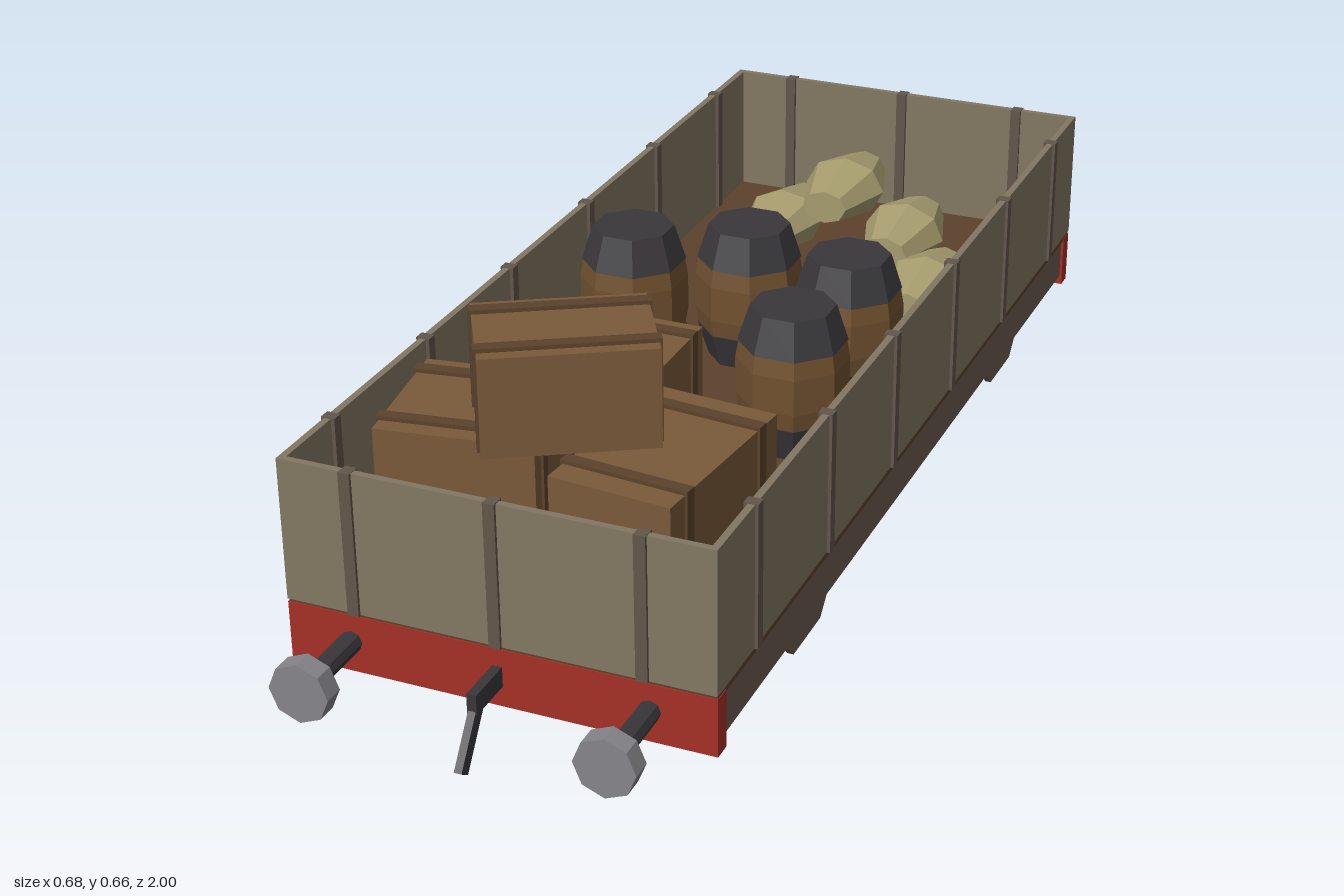
import * as THREE from 'three';

const mat = (color, opts = {}) => new THREE.MeshStandardMaterial({ color, flatShading: true, ...opts });
const M = {
  wall: mat(0x827762), strap: mat(0x62564b), sole: mat(0x6b5b4e), floor: mat(0x5c422c),
  under: mat(0x3a2c20), red: mat(0xa52f26), steel: mat(0x85858a), iron: mat(0x39373a),
  crate: mat(0x7a5a3a), batten: mat(0x5c432c), barrel: mat(0x70502f), sack: mat(0xa69c6e),
};

function add(parent, name, geo, material, x = 0, y = 0, z = 0) {
  const m = new THREE.Mesh(geo, material);
  m.name = name;
  m.position.set(x, y, z);
  parent.add(m);
  return m;
}
const box = (parent, name, material, w, h, d, x, y, z) =>
  add(parent, name, new THREE.BoxGeometry(w, h, d), material, x, y, z);
const lathe = (pts, n) => new THREE.LatheGeometry(pts.map(p => new THREE.Vector2(...p)), n);
const group = (parent, name, x = 0, y = 0, z = 0) => {
  const g = new THREE.Group();
  g.name = name;
  g.position.set(x, y, z);
  parent.add(g);
  return g;
};

// Open box body with straps through the walls
function buildBody(root) {
  const g = group(root, 'body');
  box(g, 'floor', M.floor, 0.664, 0.01, 1.7, 0, 0.263, 0);
  box(g, 'underside', M.under, 0.62, 0.008, 1.66, 0, 0.254, 0);
  for (const s of [-1, 1]) {
    box(g, 'sideWall', M.wall, 0.011, 0.227, 1.706, s * 0.3275, 0.3815, 0);
    box(g, 'endWall', M.wall, 0.644, 0.227, 0.011, 0, 0.3815, s * 0.8475);
    box(g, 'soleBar', M.sole, 0.035, 0.073, 1.65, s * 0.311, 0.223, 0);
    box(g, 'bufferBeam', M.red, 0.666, 0.093, 0.03, 0, 0.2165, s * 0.837);
    for (const z of [-0.712, -0.428, -0.145, 0.145, 0.428, 0.712])
      box(g, 'sideStrap', M.strap, 0.022, 0.229, 0.018, s * 0.327, 0.3815, z);
    for (const x of [-0.223, 0, 0.223])
      box(g, 'endStrap', M.strap, 0.018, 0.229, 0.022, x, 0.3815, s * 0.847);
  }
}

// Buffers and coupling hook at one end
function buildEnd(root, turn) {
  const g = group(root, 'coupling');
  g.rotation.y = turn;
  for (const x of [-0.232, 0.232]) {
    const b = group(g, 'buffer', x, 0.22, 0);
    b.rotation.x = Math.PI / 2;
    add(b, 'bufferShaft', new THREE.CylinderGeometry(0.017, 0.017, 0.13, 8), M.iron, 0, 0.91, 0);
    add(b, 'bufferHead', new THREE.CylinderGeometry(0.047, 0.047, 0.033, 8), M.steel, 0, 0.9835, 0);
  }
  box(g, 'hookShank', M.iron, 0.015, 0.032, 0.085, 0, 0.219, 0.888);
  box(g, 'hookTip', M.iron, 0.012, 0.1, 0.022, 0, 0.172, 0.942).rotation.x = -0.6;
}

// Axle with two wheels, axle boxes, springs and hangers
function buildWheelset(root, z) {
  const g = group(root, 'wheelset', 0, 0.127, z);
  add(g, 'axle', new THREE.CylinderGeometry(0.015, 0.015, 0.48, 8), M.iron).rotation.z = Math.PI / 2;
  const rim = lathe([[0.102, -0.005], [0.102, 0.018], [0.122, 0.018], [0.127, -0.016], [0, -0.016]].reverse(), 12);
  const rimMat = mat(0x85858a, { side: THREE.DoubleSide });
  const hanger = new THREE.Shape([[-0.1, 0.19], [-0.055, 0.145], [0.055, 0.145], [0.1, 0.19]]
    .map(p => new THREE.Vector2(...p)));
  for (const s of [-1, 1]) {
    const w = group(g, 'wheel', s * 0.204, 0, 0);
    w.rotation.z = -s * Math.PI / 2;
    add(w, 'tyre', rim, rimMat);
    add(w, 'wheelWeb', new THREE.CylinderGeometry(0.104, 0.104, 0.012, 12), M.iron, 0, -0.003, 0);
    for (const a of [0, Math.PI / 2])
      box(w, 'spoke', M.steel, 0.21, 0.013, 0.018, 0, 0.009, 0).rotation.y = a;
    add(w, 'hub', new THREE.CylinderGeometry(0.022, 0.022, 0.02, 8), M.steel, 0, 0.01, 0);
    box(g, 'axleBox', M.iron, 0.034, 0.062, 0.075, s * 0.247, 0.002, 0);
    box(g, 'spring', M.iron, 0.026, 0.016, 0.2, s * 0.247, 0.054, 0);
    box(g, 'springPost', M.iron, 0.022, 0.1, 0.03, s * 0.247, 0.076, 0);
    const h = add(g, 'hangerPlate',
      new THREE.ExtrudeGeometry(hanger, { depth: 0.01, bevelEnabled: false }), M.sole, s * 0.315 - 0.005, -0.127, 0);
    h.rotation.y = Math.PI / 2;
  }
}

// Crate with two bands over the lid and down the ends
function buildCrate(root, w, h, d, x, y, z, turn) {
  const g = group(root, 'crate', x, y, z);
  g.rotation.y = turn;
  box(g, 'crateBox', M.crate, w, h - 0.006, d, 0, (h - 0.006) / 2, 0);
  for (const s of [-1, 1])
    box(g, 'crateBand', M.batten, w + 0.008, h, 0.02, 0, h / 2, s * d * 0.34);
}

// Barrel: bulging staves between two dark ends
function buildBarrel(root, x, z) {
  const g = group(root, 'barrel', x, 0.267, z);
  g.rotation.y = Math.PI / 8;
  add(g, 'barrelStaves', lathe([[0.084, 0.055], [0.09, 0.09], [0.09, 0.15], [0.084, 0.185]], 8), M.barrel);
  add(g, 'barrelBottom', lathe([[0, 0], [0.068, 0], [0.087, 0.06], [0.082, 0.06]], 8), M.iron);
  add(g, 'barrelTop', lathe([[0.082, 0.18], [0.087, 0.18], [0.068, 0.24], [0, 0.24]], 8), M.iron);
}

// Stuffed sack lying along z, slightly flattened
function buildSack(root, x, y, z, turn, roll) {
  const geo = lathe([[0, -0.107], [0.04, -0.107], [0.074, 0], [0.04, 0.107], [0, 0.107]], 8);
  geo.rotateX(Math.PI / 2);
  geo.scale(1, 0.75, 1);
  add(root, 'sack', geo, M.sack, x, y, z).rotation.set(0, turn, roll);
}

export function createModel() {
  const root = new THREE.Group();
  root.name = 'openWagon';
  buildBody(root);
  for (const turn of [0, Math.PI]) buildEnd(root, turn);
  for (const z of [-0.48, 0.48]) buildWheelset(root, z);

  const cargo = group(root, 'cargo');
  buildCrate(cargo, 0.262, 0.173, 0.235, -0.132, 0.267, 0.235, 0);
  buildCrate(cargo, 0.24, 0.246, 0.23, -0.14, 0.267, 0.612, 0.15);
  buildCrate(cargo, 0.195, 0.22, 0.315, 0.14, 0.267, 0.585, -0.1);
  buildCrate(cargo, 0.254, 0.16, 0.185, 0, 0.5, 0.612, 0.53);
  for (const [x, z] of [[-0.2, -0.06], [-0.025, -0.14], [0.172, -0.085], [0.158, 0.13]]) buildBarrel(cargo, x, z);
  buildSack(cargo, -0.137, 0.32, -0.59, 0, 0.1);
  buildSack(cargo, 0.088, 0.32, -0.615, 0, -0.1);
  buildSack(cargo, -0.025, 0.395, -0.605, 0, 0);
  buildSack(cargo, 0.2, 0.32, -0.405, 0, 0);
  return root;
}
